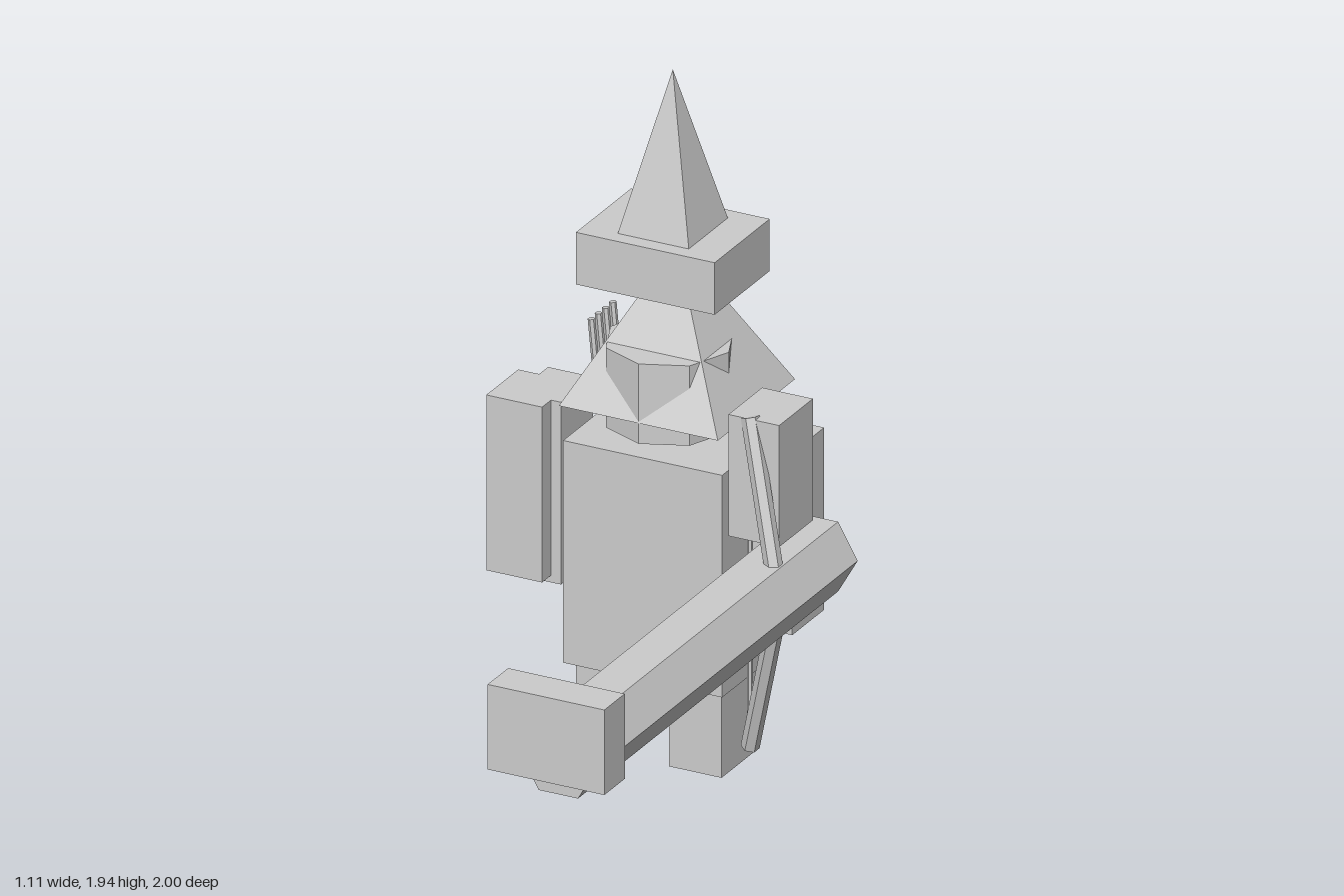
import * as THREE from 'three';

export function createModel() {
  const model = new THREE.Group();
  model.name = 'blockyArcher';
  const paleGrey = new THREE.MeshStandardMaterial({ color: 0xcccccc });
  paleGrey.name = 'paleGrey';

  function add(name, geometry) {
    // Flat faces: split shared corners and give every face its own normal
    const flat = geometry.index ? geometry.toNonIndexed() : geometry;
    flat.computeVertexNormals();
    const mesh = new THREE.Mesh(flat, paleGrey);
    mesh.name = name;
    model.add(mesh);
    return mesh;
  }

  // Box from its limits on each axis
  function box(name, [x0, x1], [y0, y1], [z0, z1]) {
    add(name, new THREE.BoxGeometry(x1 - x0, y1 - y0, z1 - z0))
      .position.set((x0 + x1) / 2, (y0 + y1) / 2, (z0 + z1) / 2);
  }

  // Four-sided pyramid with an axis-aligned base
  function pyramid(name, x, z, y0, y1, width, depth) {
    const g = new THREE.ConeGeometry(Math.SQRT1_2, y1 - y0, 4).rotateY(Math.PI / 4);
    g.scale(width, 1, depth);
    add(name, g).position.set(x, (y0 + y1) / 2, z);
  }

  // Straight rod between two points
  function rod(name, from, to, radius, sides) {
    const a = new THREE.Vector3(...from), b = new THREE.Vector3(...to);
    const dir = b.clone().sub(a);
    const mesh = add(name, new THREE.CylinderGeometry(radius, radius, dir.length(), sides));
    mesh.position.copy(a).add(b).multiplyScalar(0.5);
    mesh.quaternion.setFromUnitVectors(new THREE.Vector3(0, 1, 0), dir.normalize());
  }

  // Hat, hood and head
  pyramid('hatPoint', -0.085, -0.605, 1.49, 1.94, 0.21, 0.22);
  box('hatBrim', [-0.29, 0.12], [1.34, 1.49], [-0.76, -0.45]);
  pyramid('hood', -0.085, -0.628, 1.0, 1.43, 0.47, 0.435);
  add('head', new THREE.CylinderGeometry(0.175, 0.175, 0.23, 8)).position.set(-0.085, 1.055, -0.587);

  // Body and backpack
  box('torso', [-0.32, 0.15], [0.25, 0.89], [-0.735, -0.435]);
  box('backpack', [-0.295, 0.12], [0.345, 0.85], [-0.82, -0.73]);
  box('hangingPouch', [0.035, 0.11], [0.415, 0.58], [-1.0, -0.915]);

  // Legs and arms, mirrored about the body's centre line
  for (const [side, s] of [['right', -1], ['left', 1]]) {
    const span = (a, b) => [-0.085 + s * a, -0.085 + s * b].sort((p, q) => p - q);
    box(side + 'Leg', span(0.06, 0.215), [0, 0.26], [-0.66, -0.47]);
    box(side + 'Arm', span(0.275, 0.408), [0.44, 0.965], [-0.68, -0.5]);
  }
  box('rightForearm', [-0.555, -0.39], [0.46, 0.965], [-0.63, -0.45]);
  box('leftForearm', [0.25, 0.4], [0.8, 1.15], [-0.47, -0.28]);

  // Long hexagonal hammer
  const shaft = new THREE.CylinderGeometry(0.116, 0.116, 1.465, 6)
    .rotateY(Math.PI / 2).rotateX(Math.PI / 2);
  add('hammerShaft', shaft).position.set(0.38, 0.675, 0.193);
  box('hammerHead', [0.21, 0.555], [0.64, 0.885], [0.885, 1.0]);

  // Bow with two limbs and a string
  for (const [name, s] of [['upperBowLimb', 1], ['lowerBowLimb', -1]]) {
    rod(name, [0.418, 0.675 + s * 0.07, -0.222], [0.307, 0.675 + s * 0.475, -0.294], 0.025, 6);
  }
  rod('bowString', [0.307, 0.21, -0.292], [0.307, 1.14, -0.292], 0.008, 6);

  // Row of arrows beside the backpack
  for (let i = 0; i < 4; i++) {
    const z = -0.665 - i * 0.04;
    rod('arrow', [-0.32, 0.75, z], [-0.357, 1.14, z], 0.01, 6);
  }
  return model;
}
